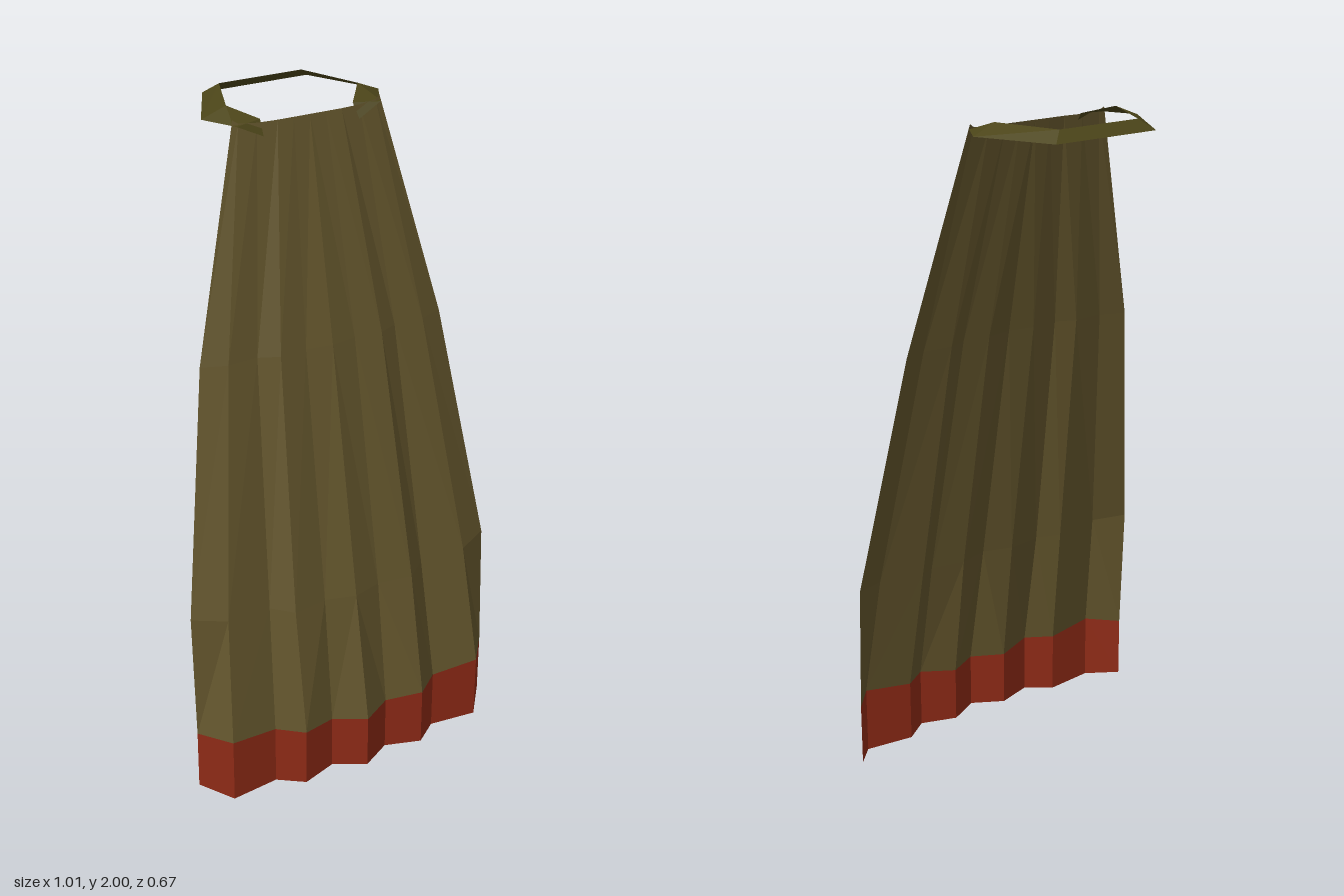
import * as THREE from 'three';

const material = (color) =>
  new THREE.MeshStandardMaterial({ color, flatShading: true, side: THREE.DoubleSide });

// Joins rows of points (each row an array of [x, y, z]) into a faceted sheet.
function sheet(rows, color, name) {
  const cols = rows[0].length, index = [];
  for (let r = 0; r < rows.length - 1; r++) {
    for (let c = 0; c < cols - 1; c++) {
      const a = r * cols + c, b = a + 1, d = a + cols, e = d + 1;
      // mirror the diagonals about the centre line
      if (c < (cols - 1) / 2) index.push(a, d, b, b, d, e);
      else index.push(a, d, e, a, e, b);
    }
  }
  const geometry = new THREE.BufferGeometry();
  geometry.setAttribute('position', new THREE.Float32BufferAttribute(rows.flat(2), 3));
  geometry.setIndex(index);
  const flat = geometry.toNonIndexed();
  flat.computeVertexNormals();
  const mesh = new THREE.Mesh(flat, material(color));
  mesh.name = name;
  return mesh;
}

// Half a row from the centre outwards, mirrored to run from -x to +x.
const mirrorRow = (half) => [
  ...half.slice(1).reverse().map(([x, y, z]) => [-x, y, z]),
  ...half,
];
const makeRow = (xs, ys, zs) => mirrorRow(xs.map((x, i) => [x, ys[i], zs[i]]));

export function createModel() {
  const group = new THREE.Group();
  group.name = 'cape';

  // Pleated cross-sections, from the neck down to the hem
  const hemX = [0, 0.095, 0.205, 0.28, 0.43, 0.503];
  const hemZ = [0.333, 0.28, 0.316, 0.26, 0.277, 0.188];
  const neck = makeRow([0, 0.05, 0.1, 0.16, 0.215, 0.23],
    [1.97, 1.97, 1.97, 1.97, 1.975, 1.985], [-0.02, -0.02, -0.02, -0.025, -0.03, -0.035]);
  const chest = makeRow([0, 0.08, 0.165, 0.225, 0.318, 0.393],
    [1.33, 1.33, 1.33, 1.33, 1.33, 1.33], [0.11, 0.097, 0.105, 0.078, 0.083, 0.055]);
  const knee = makeRow([0, 0.092, 0.2, 0.262, 0.405, 0.503],
    [0.57, 0.57, 0.57, 0.58, 0.59, 0.6], [0.255, 0.228, 0.245, 0.2, 0.215, 0.17]);
  const bandTop = makeRow(hemX, [0.17, 0.172, 0.185, 0.19, 0.205, 0.21], hemZ);
  const hem = makeRow(hemX, [0, 0, 0, 0, 0, 0.02], hemZ);

  group.add(sheet([neck, chest, knee, bandTop], 0x63552c, 'cloth'));
  group.add(sheet([bandTop, hem], 0x8e2a16, 'hemBand'));

  // Sloping collar strip, open at the front, with its ends tucked down
  const inner = [[0, 2, -0.303], [0.132, 2, -0.303], [0.207, 2, -0.115], [0.145, 1.975, -0.037], [0.15, 1.935, -0.008]];
  const outer = [[0, 1.97, -0.337], [0.168, 1.97, -0.337], [0.28, 1.97, -0.122], [0.23, 1.97, -0.03], [0.225, 1.97, -0.02]];
  group.add(sheet([mirrorRow(inner), mirrorRow(outer)], 0x4c4519, 'collar'));

  return group;
}
